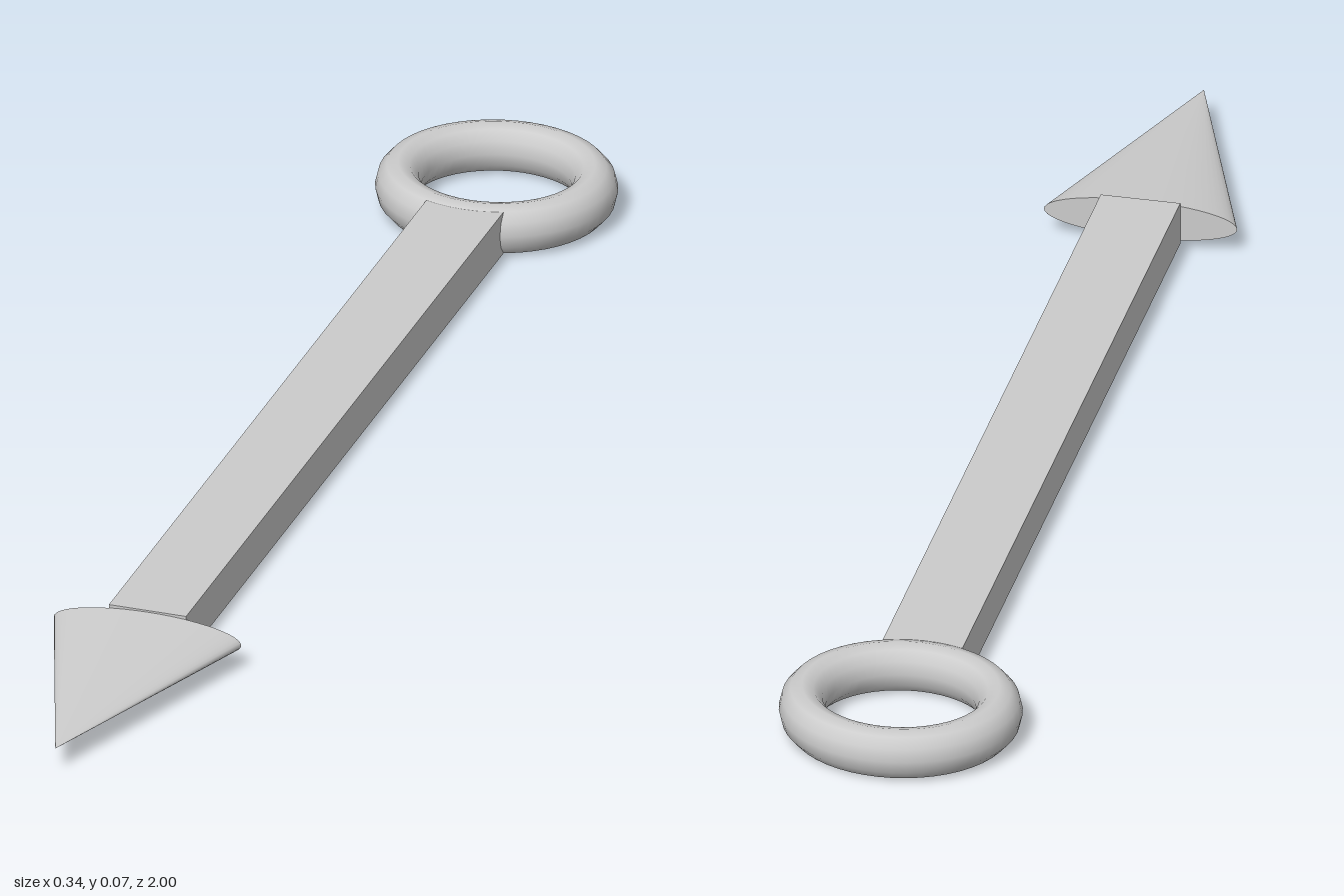
import * as THREE from 'three';

export function createModel() {
  const group = new THREE.Group();
  const material = new THREE.MeshStandardMaterial({ color: 0xcccccc });
  const midY = 0.0365;

  const add = (name, geometry, z) => {
    const mesh = new THREE.Mesh(geometry, material);
    mesh.name = name;
    mesh.position.set(0, midY, z);
    group.add(mesh);
  };

  // Flat rectangular bar running from the ring to the head
  add('shaft', new THREE.BoxGeometry(0.112, 0.063, 1.325), -0.0475);

  // Flattened cone pointing forward, with a closed base
  const head = new THREE.ConeGeometry(0.136, 0.385, 48);
  head.rotateX(Math.PI / 2).scale(1, 0.029 / 0.136, 1);
  add('arrowHead', head, 0.8075);

  // Slightly oval ring lying flat at the back end
  const ring = new THREE.TorusGeometry(0.136, 0.032, 12, 48);
  ring.rotateX(Math.PI / 2).scale(1, midY / 0.032, 0.157 / 0.168);
  add('ring', ring, -0.843);

  return group;
}
